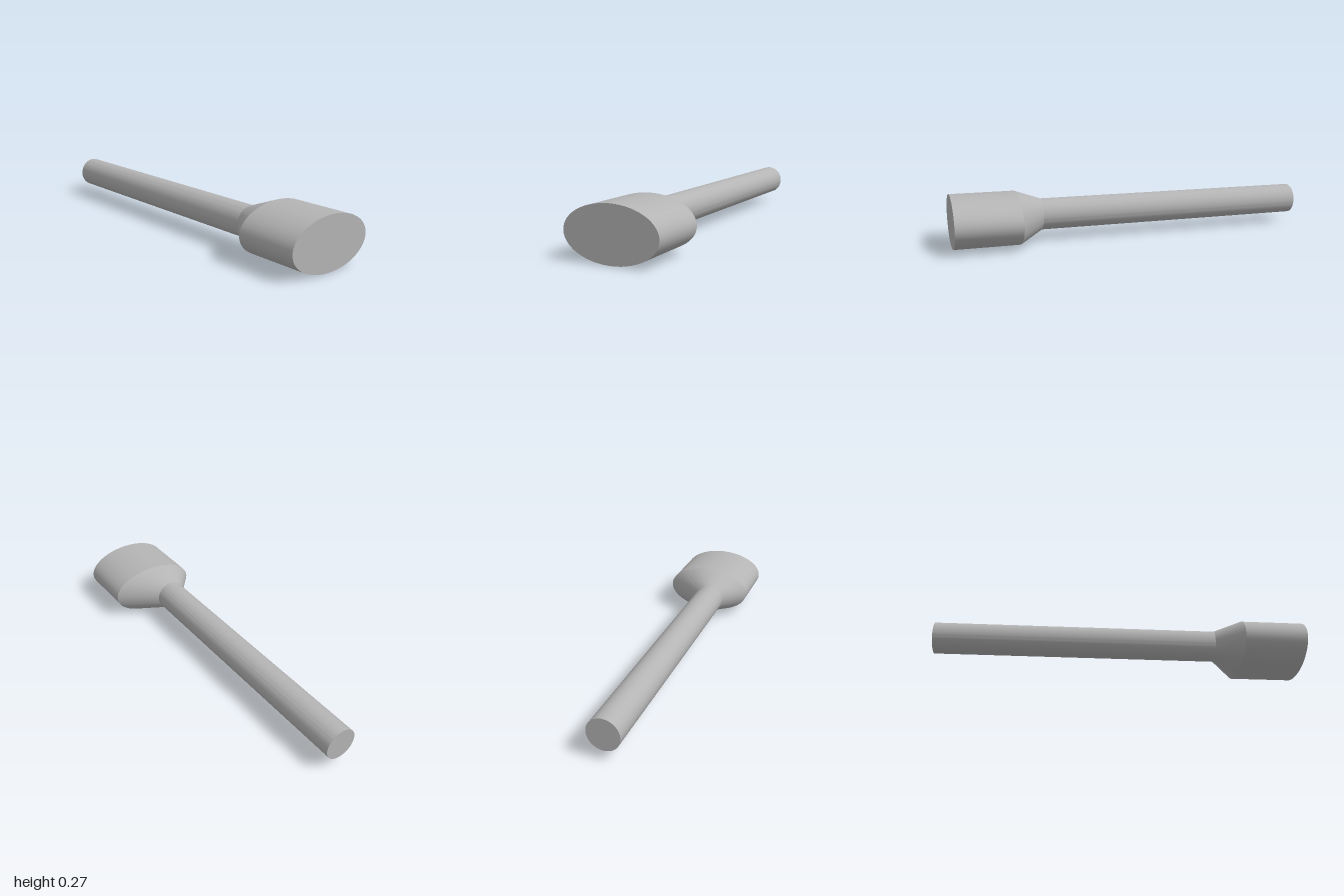
import * as THREE from 'three';
import { toCreasedNormals } from 'three/addons/utils/BufferGeometryUtils.js';

const CENTRE_Y = 0.138;

// Cross-sections: centre x, half width, half height
const OVAL = { x: 0, rx: 0.246, ry: 0.137 };
const ROUND = { x: -0.046, rx: 0.084, ry: 0.084 };

// Solid running along z from a rear section to a front section
function loft(name, material, rear, zRear, front, zFront, open = false) {
  const geometry = new THREE.CylinderGeometry(1, 1, 1, 56, 1, open).rotateX(Math.PI / 2);
  const p = geometry.attributes.position;
  for (let i = 0; i < p.count; i++) {
    const atFront = p.getZ(i) > 0;
    const s = atFront ? front : rear;
    p.setXYZ(i, s.x + p.getX(i) * s.rx, CENTRE_Y + p.getY(i) * s.ry, atFront ? zFront : zRear);
  }
  const mesh = new THREE.Mesh(toCreasedNormals(geometry, 0.6), material);
  mesh.name = name;
  return mesh;
}

export function createModel() {
  const grey = new THREE.MeshStandardMaterial({ color: 0xb4b4b4 });
  grey.name = 'plain grey';

  const model = new THREE.Group();
  model.name = 'ovalHeadedPin';
  model.add(
    // Oval head, off-centre tapering neck, round shaft
    loft('head', grey, OVAL, 0.665, OVAL, 1),
    loft('neck', grey, ROUND, 0.525, OVAL, 0.665, true),
    loft('shaft', grey, ROUND, -1, ROUND, 0.525),
  );
  return model;
}
